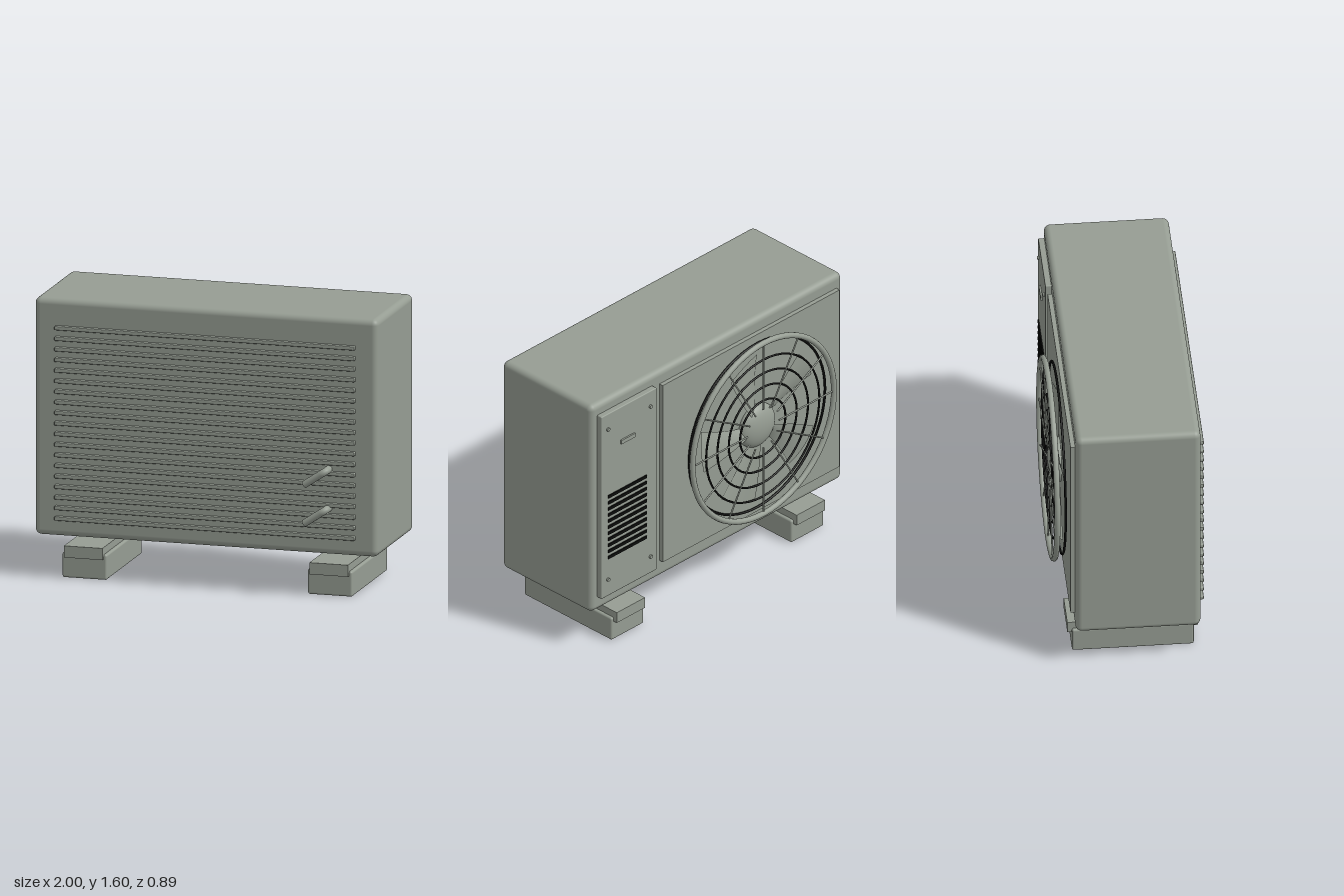
import * as THREE from 'three';
import { RoundedBoxGeometry } from 'three/addons/geometries/RoundedBoxGeometry.js';

const casing = new THREE.MeshStandardMaterial({ color: 0x969d93 });
casing.name = 'greyCasing';
const bladeGrey = new THREE.MeshStandardMaterial({ color: 0x969d93, side: THREE.DoubleSide });
bladeGrey.name = 'greyBlade';
const black = new THREE.MeshStandardMaterial({ color: 0x0c0d0c });
black.name = 'blackGrille';

export function createModel() {
  const root = new THREE.Group();
  root.name = 'outdoorCoolingUnit';

  function add(name, geometry, material = casing, parent = root) {
    const mesh = new THREE.Mesh(geometry, material);
    mesh.name = name;
    parent.add(mesh);
    return mesh;
  }
  // Box given by its limits on each axis, with optional rounded edges
  function box(name, [x0, x1], [y0, y1], [z0, z1], radius = 0, material = casing) {
    const size = [x1 - x0, y1 - y0, z1 - z0];
    const geo = radius ? new RoundedBoxGeometry(...size, 4, radius) : new THREE.BoxGeometry(...size);
    geo.translate((x0 + x1) / 2, (y0 + y1) / 2, (z0 + z1) / 2);
    return add(name, geo, material);
  }

  box('body', [-1, 1], [0.24, 1.6], [-0.34, 0.36], 0.035);

  // Feet: block with a rail on top
  for (const s of [-1, 1]) {
    box('footBlock', [s * 0.715 - 0.13, s * 0.715 + 0.13], [0, 0.145], [-0.348, 0.335], 0.012);
    box('footRail', [s * 0.715 - 0.112, s * 0.715 + 0.112], [0.12, 0.187], [-0.373, 0.36]);
  }

  // Front slats
  for (let i = 0; i < 19; i++) {
    const y = 0.345 + i * 0.0606;
    box('frontSlat', [-0.877, 0.872], [y - 0.011, y + 0.011], [0.35, 0.388], 0.005);
  }

  // Bent connection pipes
  for (const y of [0.73, 0.508]) {
    const path = new THREE.CurvePath();
    const v = (x, dy, z) => new THREE.Vector3(x, y + dy, z);
    path.add(new THREE.LineCurve3(v(0.715, 0, 0.33), v(0.715, 0, 0.4)));
    path.add(new THREE.QuadraticBezierCurve3(v(0.715, 0, 0.4), v(0.715, 0, 0.428), v(0.69, -0.016, 0.428)));
    path.add(new THREE.LineCurve3(v(0.69, -0.016, 0.428), v(0.592, -0.082, 0.428)));
    add('pipe', new THREE.TubeGeometry(path, 32, 0.021, 14));
    const cap = add('pipeEnd', new THREE.CircleGeometry(0.021, 14));
    cap.position.copy(v(0.592, -0.082, 0.428));
    cap.lookAt(v(0.494, -0.148, 0.428));
  }

  // Rear panels
  box('fanPanel', [-0.95, 0.455], [0.35, 1.515], [-0.366, -0.335]);
  box('servicePanel', [0.51, 0.95], [0.33, 1.53], [-0.374, -0.335], 0.006);
  for (let i = 0; i < 11; i++) {
    const y = 0.585 + i * 0.04;
    box('serviceVent', [0.595, 0.9], [y - 0.009, y + 0.009], [-0.381, -0.372], 0, black);
  }
  box('panelPlate', [0.69, 0.8], [1.29, 1.315], [-0.384, -0.37]);
  for (const x of [0.562, 0.9]) for (const y of [0.44, 1.43]) {
    const screw = add('panelScrew', new THREE.CylinderGeometry(0.011, 0.011, 0.012, 14));
    screw.rotation.x = Math.PI / 2;
    screw.position.set(x, y, -0.378);
  }

  // Fan assembly, centred on its axle
  const fan = new THREE.Group();
  fan.name = 'fan';
  fan.position.set(-0.28, 0.93, 0);
  root.add(fan);

  const rim = add('guardRim', new THREE.TorusGeometry(0.562, 0.017, 12, 64), casing, fan);
  rim.position.z = -0.429;
  const shroud = add('shroudRing', new THREE.TorusGeometry(0.54, 0.007, 8, 64), black, fan);
  shroud.position.z = -0.381;
  for (const r of [0.18, 0.27, 0.36, 0.45]) {
    const ring = add('guardRing', new THREE.TorusGeometry(r, 0.006, 8, 56), black, fan);
    ring.position.z = -0.425;
  }

  // Guard spokes
  for (let i = 0; i < 12; i++) {
    const a = (i / 12) * Math.PI * 2;
    const spoke = add('guardSpoke', new THREE.CylinderGeometry(0.005, 0.005, 0.44, 8), casing, fan);
    spoke.position.set(Math.cos(a) * 0.345, Math.sin(a) * 0.345, -0.43);
    spoke.rotation.z = a - Math.PI / 2;
  }

  // Hub dome
  const hub = add('hub', new THREE.SphereGeometry(0.135, 32, 20), casing, fan);
  hub.scale.z = 0.45;
  hub.position.z = -0.375;

  // Pitched blades that widen towards the tip
  for (let i = 0; i < 5; i++) {
    const geo = new THREE.PlaneGeometry(1, 1, 8, 8);
    const p = geo.attributes.position;
    for (let k = 0; k < p.count; k++) {
      const r = 0.1 + (p.getX(k) + 0.5) * 0.36;
      const w = p.getY(k);
      const a = w * 0.55 + (r - 0.28) * 0.3;
      p.setXYZ(k, Math.cos(a) * r, Math.sin(a) * r, -0.393 + w * 0.034 + (w * w - 0.12) * 0.03);
    }
    geo.computeVertexNormals();
    add('fanBlade', geo, bladeGrey, fan).rotation.z = (i / 5) * Math.PI * 2;
  }

  return root;
}
